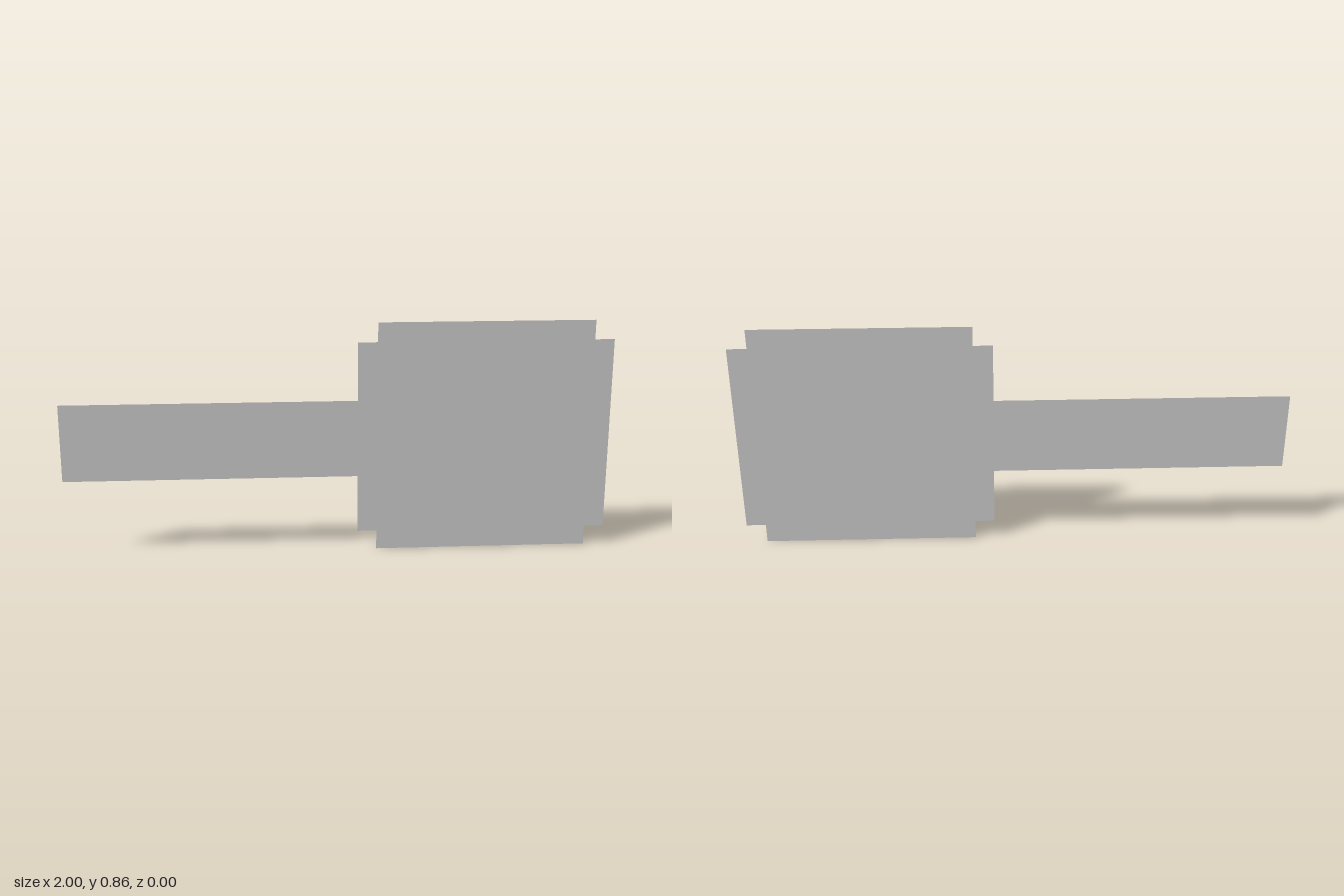
import * as THREE from 'three';

// Flat paddle silhouette on a 28 x 12 cell grid, one strip per row.
const CELL = 2 / 28;
const ROWS = 12;

export function createModel() {
  const group = new THREE.Group();
  group.name = 'flatPaddle';
  const material = new THREE.MeshStandardMaterial({ color: 0xcccccc, side: THREE.DoubleSide });

  // First and last column of each row, counted from the bottom
  const span = (row) => {
    if (row === 0 || row === ROWS - 1) return [16, 27]; // notched top and bottom of the head
    if (row >= 4 && row < 8) return [0, 28]; // handle running on into the head
    return [15, 28]; // full width of the head
  };

  for (let row = 0; row < ROWS; row++) {
    const [start, end] = span(row);
    const strip = new THREE.Mesh(new THREE.PlaneGeometry((end - start) * CELL, CELL), material);
    strip.position.set(((start + end) / 2) * CELL - 1, (row + 0.5) * CELL, 0);
    strip.name = start === 0 ? 'handleAndHeadStrip' : 'headStrip';
    group.add(strip);
  }
  return group;
}
